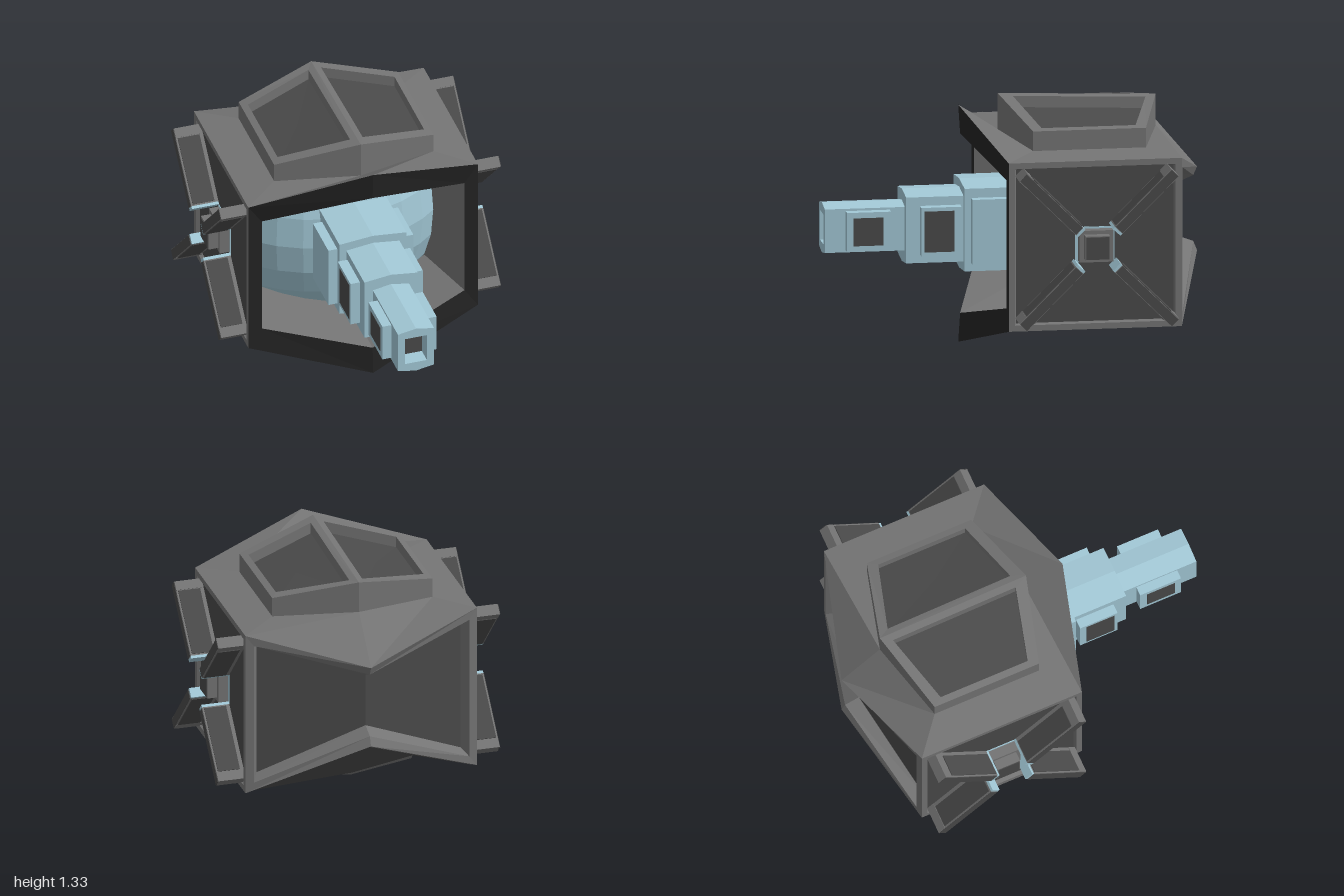
import * as THREE from 'three';

const mat = (name, color) => {
  const m = new THREE.MeshStandardMaterial({ color, side: THREE.DoubleSide, flatShading: true });
  m.name = name;
  return m;
};

export function createModel() {
  const grey = mat('frame grey', 0x747474);
  const dark = mat('panel grey', 0x4a4a4a);
  const black = mat('rim black', 0x232323);
  const blue = mat('pale blue', 0xa2c8d6);

  const model = new THREE.Group();
  const add = (name, geo, material, parent = model) => {
    const mesh = new THREE.Mesh(geo, material);
    mesh.name = name;
    parent.add(mesh);
    return mesh;
  };
  const box = (name, w, h, d, x, y, z, material, parent) => {
    const b = add(name, new THREE.BoxGeometry(w, h, d), material, parent);
    b.position.set(x, y, z);
    return b;
  };
  const surface = (tris) => {
    const g = new THREE.BufferGeometry();
    g.setAttribute('position', new THREE.Float32BufferAttribute(tris.flat(), 3));
    g.computeVertexNormals();
    return g;
  };
  // Strip of quads joining two closed loops of equal length
  const band = (name, a, b, material) => {
    const t = [];
    a.forEach((p, i) => {
      const j = (i + 1) % a.length;
      t.push(p, a[j], b[j], p, b[j], b[i]);
    });
    return add(name, surface(t), material);
  };
  // Fan that closes a loop around a centre point
  const fill = (name, loop, c, material) =>
    add(name, surface(loop.flatMap((p, i) => [c, p, loop[(i + 1) % loop.length]])), material);
  // Move a loop towards a centre
  const inset = (loop, c, k) => loop.map((p) => p.map((v, i) => c[i] + (v - c[i]) * k));
  const shift = (loop, x, y, z) => loop.map((p) => [p[0] + x, p[1] + y, p[2] + z]);

  // Hull corners
  const X = 0.635, T = 1.09, B = 0.185, F = 0.1, R = -0.82;
  const frontTop = [0, 1.275, 0.27], frontLow = [0, 0, 0.27];
  const backTop = [0, 0.9, -1], backLow = [0, 0.45, -1];

  // Front rim, deep tapering opening and domed core
  const rim = [frontTop, [X, T, F], [X, B, F], frontLow, [-X, B, F], [-X, T, F]];
  const hole = (x, z, zm) => [[0, 1.12, zm], [x, 0.985, z], [x, 0.295, z],
    [0, 0.155, zm], [-x, 0.295, z], [-x, 0.985, z]];
  band('frontRim', rim, hole(0.56, 0.1, 0.26), black);
  band('openingWall', hole(0.56, 0.1, 0.26), hole(0.46, -0.27, -0.2), grey);
  const core = add('core', new THREE.SphereGeometry(0.75, 8, 6,
    Math.PI / 2 - 0.76, 1.52, Math.PI / 2 - 0.69, 1.38), blue);
  core.position.set(0, 0.637, -0.76);

  // Roof sloping into a raised hatch
  const hex = (x, yC0, yS, yC1, z0, zs0, zs1, z1) => [[0, yC0, z0], [x, yS, zs0], [x, yS, zs1],
    [0, yC1, z1], [-x, yS, zs1], [-x, yS, zs0]];
  const roof = [frontTop, [X, T, F], [X, T, R], backTop, [-X, T, R], [-X, T, F]];
  const hatchBase = hex(0.44, 1.13, 1.11, 1.13, 0.06, -0.06, -0.66, -0.78);
  const hatchTop = hex(0.44, 1.33, 1.215, 1.3, 0.06, -0.06, -0.66, -0.78);
  band('roof', roof, hatchBase, grey);
  band('hatchWall', hatchBase, hatchTop, grey);
  for (const s of [1, -1]) {
    const half = [[0, 1.33, 0.06], [s * 0.44, 1.215, -0.06], [s * 0.44, 1.215, -0.66], [0, 1.3, -0.78]];
    const win = [[s * 0.035, 1.32, -0.015], [s * 0.405, 1.224, -0.11],
      [s * 0.405, 1.224, -0.61], [s * 0.035, 1.292, -0.72]];
    const floor = shift(win, 0, -0.06, 0);
    band('hatchFrame', half, win, grey);
    band('hatchWindowWall', win, floor, grey);
    fill('hatchWindow', floor, [s * 0.22, 1.205, -0.36], dark);
  }

  // Underside with a shallow framed hatch
  const low = [frontLow, [X, B, F], [X, B, R], backLow, [-X, B, R], [-X, B, F]];
  const lowEdge = inset(low, [0, 0.15, -0.36], 0.94);
  const ventBase = hex(0.36, 0.13, 0.165, 0.155, -0.1, -0.2, -0.56, -0.66);
  const vent = hex(0.36, 0.085, 0.14, 0.125, -0.12, -0.22, -0.54, -0.62);
  const ventIn = inset(vent, [0, 0.12, -0.37], 0.83);
  const ventDeep = shift(ventIn, 0, 0.07, 0);
  band('undersideEdge', low, lowEdge, grey);
  band('underside', lowEdge, ventBase, dark);
  band('ventWall', ventBase, vent, grey);
  band('ventFrame', vent, ventIn, grey);
  band('ventInnerWall', ventIn, ventDeep, dark);
  fill('ventPanel', ventDeep, [0, 0.19, -0.37], dark);

  // Back frame around a folded, sunken panel
  const back = [backTop, [X, T, R], [X, B, R], backLow, [-X, B, R], [-X, T, R]];
  const backHex = (x, dy, y0, y1, z, zm) => [[0, y0, zm], [x, T - dy, z], [x, B + dy, z],
    [0, y1, zm], [-x, B + dy, z], [-x, T - dy, z]];
  const backIn = backHex(0.59, 0.06, 0.855, 0.5, -0.83, -0.98);
  const backDeep = backHex(0.56, 0.09, 0.82, 0.53, -0.77, -0.9);
  band('backFrame', back, backIn, grey);
  band('backInnerWall', backIn, backDeep, grey);
  fill('backPanel', backDeep, [0, 0.67, -0.9], dark);

  // Flat sides, each with a hub and four diagonal fins
  const cy = (T + B) / 2, cz = (F + R) / 2;
  for (const s of [1, -1]) {
    const side = [[s * X, T, F], [s * X, T, R], [s * X, B, R], [s * X, B, F]];
    const sideIn = inset(side, [s * X, cy, cz], 0.93);
    const sideDeep = inset(shift(sideIn, -s * 0.02, 0, 0), [s * (X - 0.02), cy, cz], 0.98);
    band('sideFrame', side, sideIn, grey);
    band('sideInnerWall', sideIn, sideDeep, grey);
    fill('sidePanel', sideDeep, [s * (X - 0.02), cy, cz], dark);

    const hub = new THREE.Group();
    hub.name = 'sideHub';
    hub.position.set(0, cy, cz);
    model.add(hub);
    box('hubSeat', 0.008, 0.19, 0.21, s * 0.615, 0, 0, blue, hub);
    box('hubBase', 0.06, 0.17, 0.18, s * 0.642, 0, 0, grey, hub);
    box('hubCore', 0.1, 0.13, 0.13, s * 0.675, 0, 0, grey, hub);
    box('hubCap', 0.006, 0.12, 0.12, s * 0.726, 0, 0, dark, hub);
    for (let k = 0; k < 4; k++) {
      const fin = new THREE.Group();
      fin.name = 'fin';
      fin.rotation.x = Math.PI / 4 + k * Math.PI / 2;
      hub.add(fin);
      box('finBody', 0.15, 0.42, 0.055, s * 0.697, 0.357, 0, grey, fin);
      box('finEnd', 0.15, 0.05, 0.06, s * 0.697, 0.545, 0, grey, fin);
      box('finFoot', 0.15, 0.016, 0.055, s * 0.697, 0.14, 0, blue, fin);
      box('finEdge', 0.006, 0.42, 0.05, s * 0.772, 0.36, 0, dark, fin);
      for (const f of [1, -1]) {
        box('finPanel', 0.12, 0.36, 0.008, s * 0.703, 0.335, f * 0.028, dark, fin);
      }
    }
  }

  // Stepped barrel: sections with slightly peaked top and bottom
  const section = (name, w, h, z0, z1, bore) => {
    const p = 0.018;
    const shape = new THREE.Shape([[w, -h + p], [w, h - p], [0, h], [-w, h - p], [-w, -h + p], [0, -h]]
      .map(([x, y]) => new THREE.Vector2(x, y)));
    if (bore) {
      const [bx, by] = bore;
      shape.holes.push(new THREE.Path([[-bx, -by], [-bx, by], [bx, by], [bx, -by]]
        .map(([x, y]) => new THREE.Vector2(x, y))));
    }
    const m = add(name, new THREE.ExtrudeGeometry(shape, { depth: z1 - z0, bevelEnabled: false }), blue);
    m.position.set(0, 0.64, z0);
  };
  section('barrelRoot', 0.185, 0.24, -0.1, 0.265);
  section('barrelMiddle', 0.147, 0.195, 0.25, 0.57);
  section('barrelTip', 0.1, 0.135, 0.56, 0.9);
  section('muzzle', 0.1, 0.135, 0.9, 0.995, [0.06, 0.08]);
  box('bore', 0.12, 0.16, 0.008, 0, 0.64, 0.905, dark);

  // Side blocks and windows along the barrel
  for (const s of [1, -1]) {
    box('rootBlock', 0.06, 0.35, 0.26, s * 0.205, 0.637, 0.1, blue);
    box('middleBlock', 0.07, 0.26, 0.215, s * 0.165, 0.64, 0.39, blue);
    box('middleWindow', 0.006, 0.22, 0.16, s * 0.1985, 0.64, 0.4, dark);
    box('tipBlock', 0.06, 0.21, 0.235, s * 0.12, 0.64, 0.767, blue);
    box('tipWindow', 0.006, 0.15, 0.16, s * 0.1485, 0.64, 0.77, dark);
  }
  return model;
}
